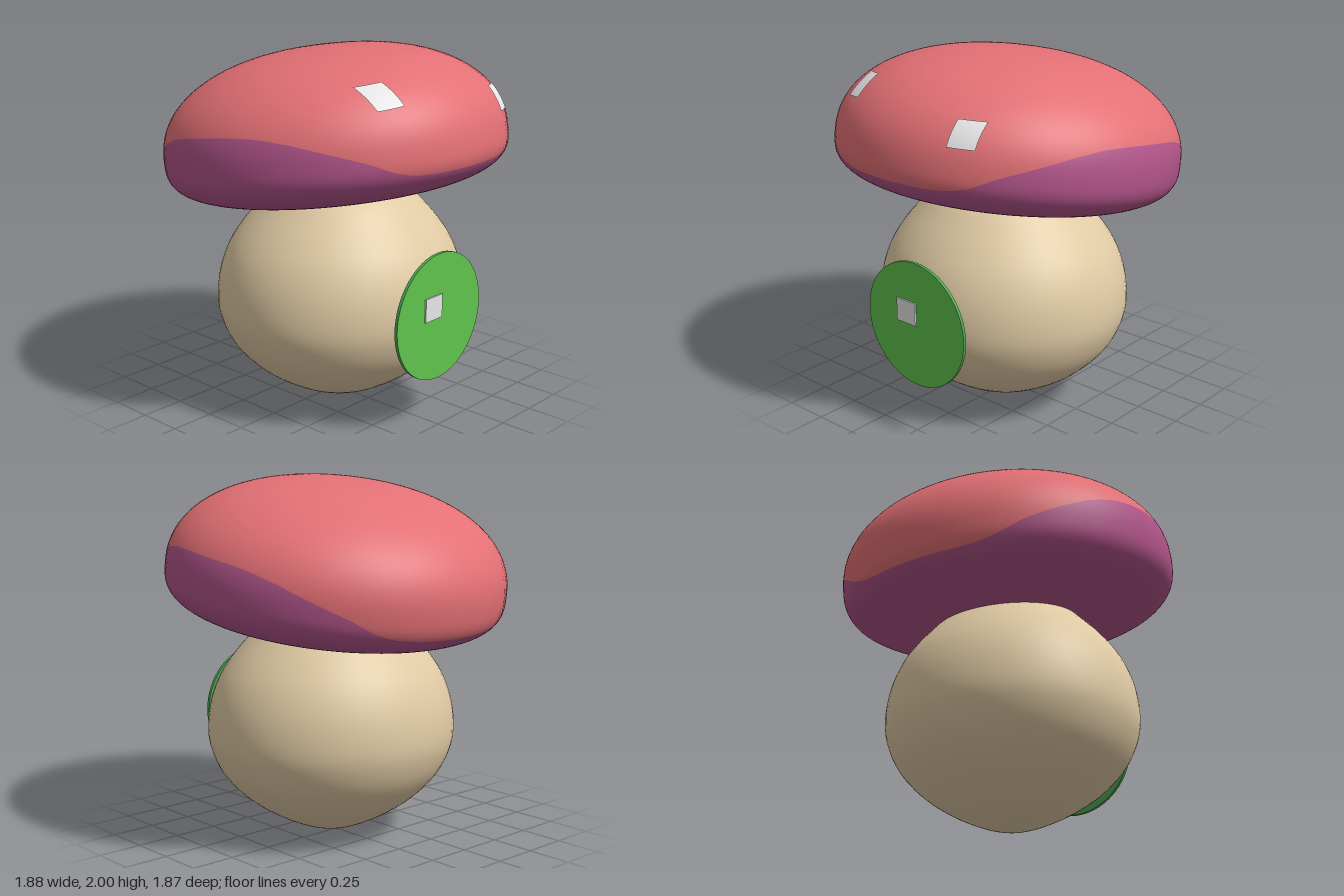
import * as THREE from 'three';

const paint = (name, color) => {
  const m = new THREE.MeshStandardMaterial({ color });
  m.name = name;
  return m;
};

// Cap: round in plan, broad dome above, fuller and flatter underneath
const CAP = { radius: 0.938, tilt: 0.148, y: 1.45 };
const DOME = { height: 0.531, power: 2.2 };
const BELLY = { height: 0.287, power: 3 };

// Height of the colour edge around the cap: high at the sides, low at front and back
const EDGE = [[0, 0.16], [10, 0.158], [20, 0.145], [30, 0.108], [40, 0.055], [52, -0.015], [60, -0.078], [66, -0.108], [75, -0.12], [90, -0.122]];
function edgeHeight(phi) {
  const a = Math.abs(Math.asin(Math.cos(phi))) * 180 / Math.PI;
  const i = Math.max(1, EDGE.findIndex(([d]) => d >= a - 1e-6));
  const [[d0, h0], [d1, h1]] = [EDGE[i - 1], EDGE[i]];
  return THREE.MathUtils.lerp(h0, h1, (a - d0) / (d1 - d0));
}

// One coloured zone of the cap, from the edge up to the crown or down to the underside
function capZone(upper) {
  const geo = new THREE.PlaneGeometry(1, 1, 96, 40);
  const { position: pos, normal: nor, uv } = geo.attributes;
  for (let i = 0; i < pos.count; i++) {
    const phi = uv.getX(i) * Math.PI * 2;
    const h0 = edgeHeight(phi);
    const half = h0 > 0 ? DOME : BELLY;
    const t0 = Math.sign(h0) * Math.asin((Math.abs(h0) / half.height) ** (half.power / 2));
    const t = upper
      ? THREE.MathUtils.lerp(t0, Math.PI / 2, uv.getY(i))
      : THREE.MathUtils.lerp(-Math.PI / 2, t0, uv.getY(i));
    const { height, power } = t > 0 ? DOME : BELLY;
    const c = Math.max(0, Math.cos(t)) ** (2 / power);
    const s = Math.abs(Math.sin(t)) ** (2 / power);
    const r = CAP.radius * c;
    const n = new THREE.Vector2(c ** (power - 1) / CAP.radius, Math.sign(t) * s ** (power - 1) / height).normalize();
    pos.setXYZ(i, r * Math.sin(phi), Math.sign(t) * height * s, r * Math.cos(phi));
    nor.setXYZ(i, n.x * Math.sin(phi), n.y, n.x * Math.cos(phi));
  }
  return geo;
}

// Front surface of the tilted dome at a given x and y, found by halving
function domeZ(x, y) {
  const c = Math.cos(CAP.tilt), s = Math.sin(CAP.tilt), d = y - CAP.y;
  let inside = 0, outside = 1.2;
  for (let k = 0; k < 30; k++) {
    const z = (inside + outside) / 2;
    const r = Math.hypot(x, z * c + d * s) / CAP.radius;
    const h = Math.abs(d * c - z * s) / DOME.height;
    if (r ** DOME.power + h ** DOME.power < 1) inside = z;
    else outside = z;
  }
  return inside;
}

// Thin, slightly skewed patch lying on the front of the dome
function domePatch(cx, cy, w, h, rise) {
  const geo = new THREE.PlaneGeometry(w, h, 8, 8);
  const pos = geo.attributes.position;
  for (let i = 0; i < pos.count; i++) {
    const x = cx + pos.getX(i);
    const y = cy + pos.getY(i) + rise * pos.getX(i) / w;
    pos.setXYZ(i, x, y + 0.004, domeZ(x, y) + 0.008);
  }
  geo.computeVertexNormals();
  return geo;
}

export function createModel() {
  const group = new THREE.Group();
  const red = paint('cap red', 0xe37075);
  const purple = paint('cap purple', 0xb15489);
  const cream = paint('stem cream', 0xe0caa4);
  const green = paint('disc green', 0x60c44e);
  const darkGreen = paint('disc back green', 0x4da552);
  const white = paint('spot white', 0xececec);
  white.side = THREE.DoubleSide;

  const add = (name, geo, mat, parent = group) => {
    const mesh = new THREE.Mesh(geo, mat);
    mesh.name = name;
    parent.add(mesh);
    return mesh;
  };

  // Bulbous stem, slightly narrower from front to back
  const outline = [[0, 0], [0.1, 0.018], [0.22, 0.06], [0.36, 0.13], [0.5, 0.225], [0.62, 0.35], [0.685, 0.48],
    [0.705, 0.6], [0.688, 0.75], [0.637, 0.89], [0.558, 1.01], [0.46, 1.12], [0.38, 1.195], [0.28, 1.245], [0, 1.27]];
  const curve = new THREE.SplineCurve(outline.map(([x, y]) => new THREE.Vector2(x, y)));
  const profile = curve.getPoints(60).map(p => new THREE.Vector2(Math.max(0, p.x), Math.max(0, p.y)));
  const stem = add('stem', new THREE.LatheGeometry(profile, 64), cream);
  stem.scale.z = 0.953;
  stem.position.z = 0.04;

  // Cap, tipped back
  const cap = new THREE.Group();
  cap.name = 'cap';
  cap.position.y = CAP.y;
  cap.rotation.x = -CAP.tilt;
  group.add(cap);
  add('capTop', capZone(true), red, cap);
  add('capUnderside', capZone(false), purple, cap);

  // Cap spots
  add('rightSpot', domePatch(-0.41, 1.83, 0.13, 0.1, 0.018), white);
  add('leftSpot', domePatch(0.41, 1.733, 0.128, 0.122, -0.008), white);

  // Disc in front of the stem, with a small square highlight
  const discGeo = new THREE.CylinderGeometry(0.348, 0.348, 0.018, 64);
  const disc = add('frontDisc', discGeo, [darkGreen, green, darkGreen]);
  disc.rotation.x = Math.PI / 2;
  disc.position.set(0, 0.62, 0.734);
  const highlight = add('discHighlight', new THREE.BoxGeometry(0.136, 0.128, 0.009), white);
  highlight.position.set(-0.058, 0.681, 0.7475);

  return group;
}
